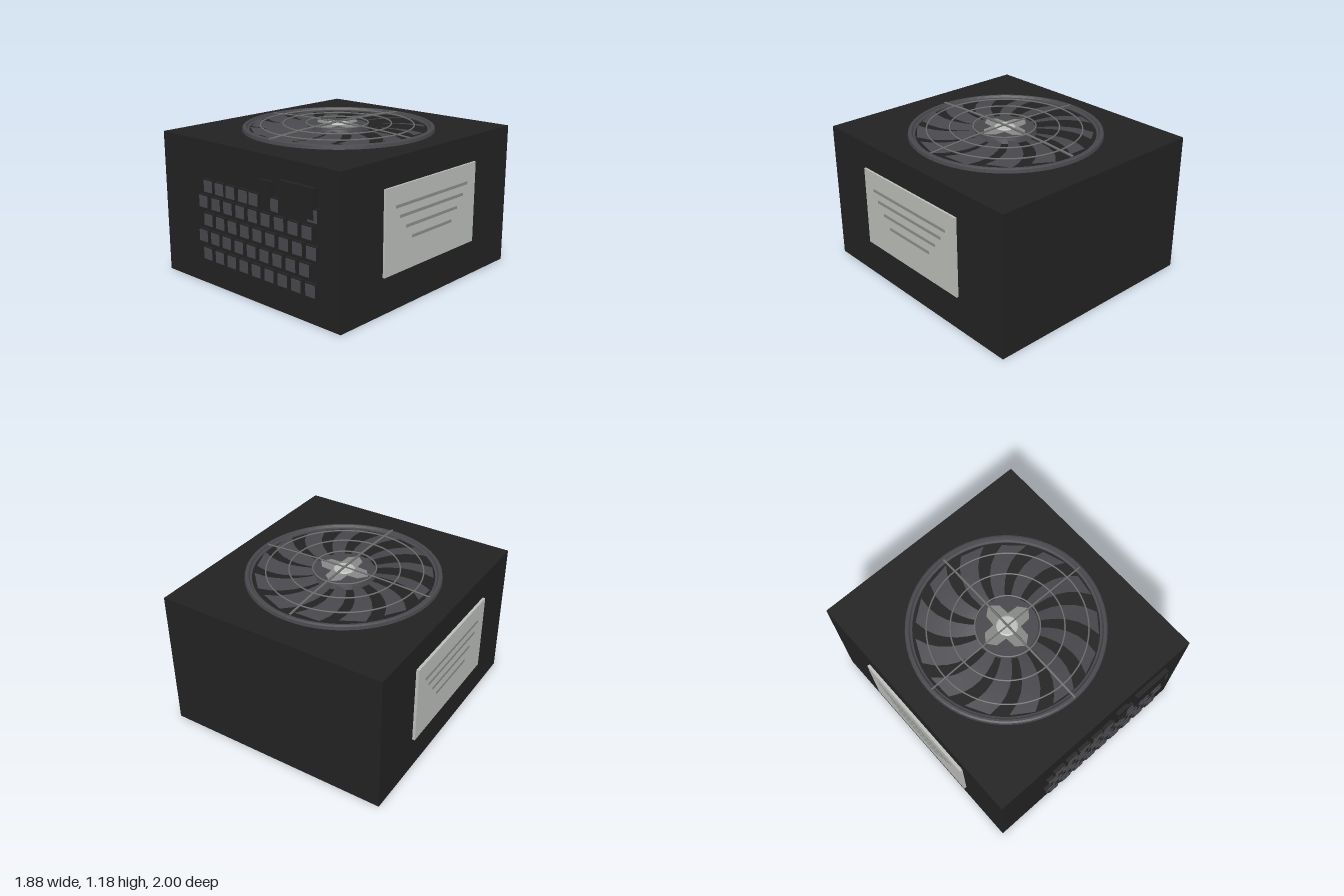
import * as THREE from 'three';

const mat = (name, color) => Object.assign(new THREE.MeshStandardMaterial({ color }), { name });

export function createModel() {
  const root = new THREE.Group();
  root.name = 'powerSupply';
  const black = mat('caseBlack', 0x222222);
  const grey = mat('fanGrey', 0x48474c);
  const wire = mat('grilleGrey', 0x6c6f6e);
  const silver = mat('hubSilver', 0x858785);
  const pale = mat('labelPale', 0xbcbeba);
  const line = mat('labelLine', 0x8c8e8b);
  grey.side = THREE.DoubleSide;

  const add = (parent, name, geo, m, x = 0, y = 0, z = 0) => {
    const mesh = new THREE.Mesh(geo, m);
    mesh.name = name;
    mesh.position.set(x, y, z);
    parent.add(mesh);
    return mesh;
  };
  const box = (parent, name, m, x0, x1, y0, y1, z0, z1) =>
    add(parent, name, new THREE.BoxGeometry(x1 - x0, y1 - y0, z1 - z0), m,
      (x0 + x1) / 2, (y0 + y1) / 2, (z0 + z1) / 2);
  const group = (name) => {
    const g = new THREE.Group();
    g.name = name;
    root.add(g);
    return g;
  };

  // Case
  box(root, 'case', black, -0.912, 0.918, 0, 1.12, -1, 0.965);

  // Front vent studs: black blocks with grey faces
  const studs = group('ventStuds');
  const rows = [
    [0.785, [-0.37, -0.245, -0.125, 0.01, 0.12, 0.325, 0.69]],
    [0.66, [-0.43, -0.29, -0.158, -0.025, 0.107, 0.238, 0.373, 0.508, 0.64]],
    [0.525, [-0.38, -0.247, -0.115, 0.018, 0.15, 0.283, 0.415, 0.547, 0.68]],
    [0.39, [-0.443, -0.31, -0.18, -0.048, 0.085, 0.218, 0.35, 0.482, 0.612]],
    [0.255, [-0.4, -0.265, -0.132, 0, 0.132, 0.265, 0.398, 0.532, 0.668]],
  ];
  for (const [y, xs] of rows) for (const x of xs) {
    box(studs, 'stud', black, x - 0.051, x + 0.051, y - 0.051, y + 0.051, 0.96, 0.992);
    box(studs, 'studFace', grey, x - 0.044, x + 0.044, y - 0.044, y + 0.044, 0.99, 0.997);
  }

  // Power socket and rocker switch
  box(root, 'socket', black, 0.382, 0.705, 0.758, 0.975, 0.96, 1);
  box(root, 'switchUpper', black, 0.195, 0.303, 0.845, 0.945, 0.96, 0.996);
  box(root, 'switchLower', black, 0.203, 0.297, 0.74, 0.845, 0.96, 1);

  // Side labels with four raised lines
  for (const s of [1, -1]) {
    const label = group(s > 0 ? 'leftLabel' : 'rightLabel');
    const slab = (name, m, a, b, y0, y1, z) =>
      box(label, name, m, Math.min(s * a, s * b), Math.max(s * a, s * b), y0, y1, -z, z);
    slab('labelPlate', pale, 0.9, 0.934, 0.28, 0.915, 0.535);
    [[0.77, 0.425], [0.692, 0.375], [0.605, 0.305], [0.515, 0.235]].forEach(([y, z]) =>
      slab('labelLine', line, 0.93, 0.939, y - 0.011, y + 0.011, z));
  }

  // Raised fan surround
  const rim = [[0.69, 1.118], [0.69, 1.13], [0.705, 1.134], [0.715, 1.152], [0.73, 1.152], [0.742, 1.145], [0.747, 1.118]];
  const ring = new THREE.LatheGeometry(rim.map(([r, y]) => new THREE.Vector2(r, y)), 64).toNonIndexed();
  ring.computeVertexNormals();
  add(root, 'fanSurround', ring, grey, 0, 0, -0.02);

  // Fan: swept blades around a hub
  const fan = group('fan');
  fan.position.set(0, 0, -0.01);
  const bladeGeometry = () => {
    const pos = [], idx = [], n = 6;
    for (let i = 0; i <= n; i++) {
      const t = i / n, r = 0.22 + 0.455 * t;
      const mid = 0.3 * t * t, half = 0.15 - 0.01 * t;
      for (const [k, y] of [[-1, 1.126], [1, 1.147]]) {
        const a = mid + k * half;
        pos.push(r * Math.cos(a), y, r * Math.sin(a));
      }
      if (i < n) {
        const b = i * 2;
        idx.push(b, b + 1, b + 2, b + 1, b + 3, b + 2);
      }
    }
    const g = new THREE.BufferGeometry();
    g.setAttribute('position', new THREE.Float32BufferAttribute(pos, 3));
    g.setIndex(idx);
    g.computeVertexNormals();
    return g;
  };
  const blade = bladeGeometry();
  const count = 13;
  for (let i = 0; i < count; i++)
    add(fan, 'blade', blade, grey).rotation.y = (i / count) * Math.PI * 2 + 0.1;
  add(fan, 'hub', new THREE.CylinderGeometry(0.23, 0.245, 0.04, 40), grey, 0, 1.136, 0);

  // Four-pointed silver patch and pale centre on the hub
  const star = new THREE.Shape();
  for (let i = 0; i < 16; i++) {
    const a = (i / 16) * Math.PI * 2, r = [0.21, 0.17, 0.1, 0.17][i % 4];
    star[i ? 'lineTo' : 'moveTo'](r * Math.cos(a), r * Math.sin(a));
  }
  add(fan, 'hubPatch', new THREE.ExtrudeGeometry(star, { depth: 0.004, bevelEnabled: false }), silver, 0, 1.156, 0)
    .rotation.x = -Math.PI / 2;
  add(fan, 'hubCentre', new THREE.CylinderGeometry(0.07, 0.082, 0.008, 24), pale, 0, 1.163, 0);

  // Domed wire grille: rings and crossed spokes
  const grille = group('grille');
  grille.position.set(0, 0, -0.005);
  for (const [r, y] of [[0.24, 1.168], [0.42, 1.164], [0.595, 1.156]])
    add(grille, 'grilleRing', new THREE.TorusGeometry(r, 0.006, 6, 64), wire, 0, y, 0).rotation.x = Math.PI / 2;
  const arc = new THREE.CatmullRomCurve3([
    [-0.725, 1.148], [-0.4, 1.165], [0, 1.171], [0.4, 1.165], [0.725, 1.148],
  ].map(([x, y]) => new THREE.Vector3(x, y, 0)));
  for (const [turn, thick] of [[0, 0.006], [Math.PI / 2, 0.009]])
    add(grille, 'grilleSpoke', new THREE.TubeGeometry(arc, 24, thick, 6), wire).rotation.y = turn;

  return root;
}
